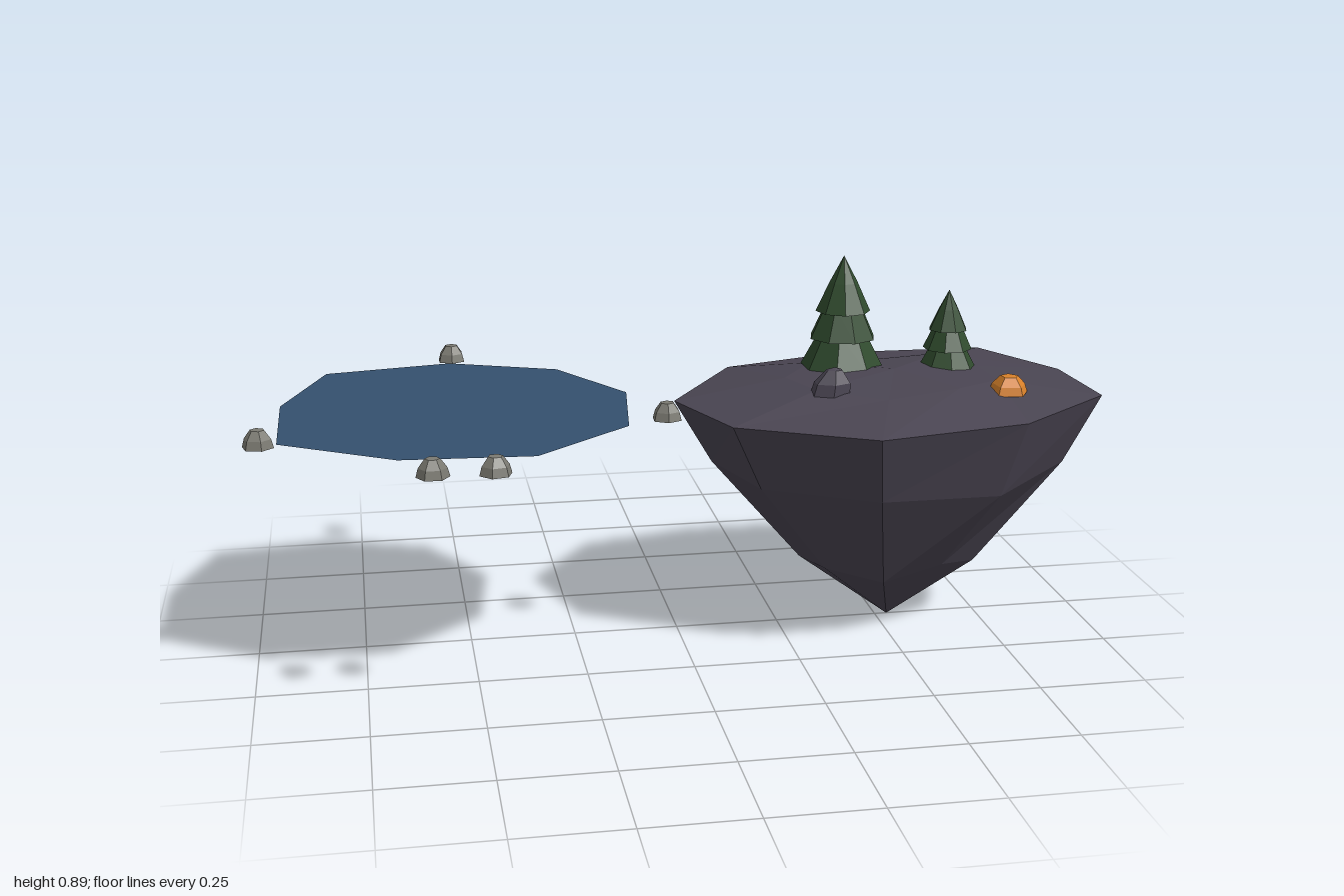
import * as THREE from 'three';

const mat = (name, color, side = THREE.FrontSide) => {
  const m = new THREE.MeshStandardMaterial({ color, side });
  m.name = name;
  return m;
};

// Faceted mesh with one normal per face
function faceted(name, geometry, material) {
  const g = geometry.index ? geometry.toNonIndexed() : geometry;
  g.computeVertexNormals();
  const mesh = new THREE.Mesh(g, material);
  mesh.name = name;
  return mesh;
}

// Skin between equal-sized rings, given from bottom to top
function loft(rings) {
  const n = rings[0].length, pos = [];
  for (let r = 0; r < rings.length - 1; r++) {
    const lo = rings[r], up = rings[r + 1];
    for (let i = 0; i < n; i++) {
      const j = (i + 1) % n;
      if (r > 0) pos.push(...lo[i], ...up[i], ...lo[j]);
      if (r < rings.length - 2) pos.push(...lo[j], ...up[i], ...up[j]);
      if (r === 0) pos.push(); // the tip only needs the fan above
    }
  }
  const g = new THREE.BufferGeometry();
  g.setAttribute('position', new THREE.Float32BufferAttribute(pos, 3));
  return g;
}

const lathe = (profile, sides) =>
  new THREE.LatheGeometry(profile.map(([r, y]) => new THREE.Vector2(r, y)), sides);

export function createModel() {
  const model = new THREE.Group();
  model.name = 'floatingIsland';
  const slate = mat('slate', 0x4a4552);
  const water = mat('water', 0x34506e, THREE.DoubleSide);
  const pine = mat('pine', 0x2f4a2d);
  const stone = mat('stone', 0x7b7a72);
  const amber = mat('amber', 0xd9822b);

  // Island: a nine-sided rim tapering down to a point, with a low domed top
  const rim = [[0, -0.035, 0.563], [0.175, -0.265, 0.58], [0.485, -0.345, 0.585],
    [0.85, -0.335, 0.585], [0.98, -0.095, 0.583], [0.995, 0.155, 0.582],
    [0.75, 0.335, 0.575], [0.39, 0.4, 0.572], [0.09, 0.23, 0.568]];
  const cx = 0.53;
  const ring = (scale, height) => rim.map(([x, z, y], i) =>
    [cx + (x - cx) * scale, height(y, i), z * scale]);
  const wobble = (i) => 0.015 * Math.sin(i * 2.4);
  model.add(faceted('island', loft([
    ring(0, () => 0),
    ring(0.42, (y, i) => 0.16 + wobble(i)),
    ring(0.83, (y, i) => 0.4 + wobble(i + 1)),
    ring(1, (y) => y),
    ring(0.5, (y, i) => 0.613 + wobble(i) * 0.4),
    ring(0, () => 0.628),
  ]), slate));

  // Lake: a flat nine-sided sheet
  const shore = [[-0.51, -0.42], [-0.25, -0.315], [-0.11, -0.07], [-0.145, 0.215],
    [-0.37, 0.41], [-0.665, 0.39], [-0.92, 0.23], [-0.92, -0.08], [-0.815, -0.365]];
  const lakeShape = new THREE.Shape(shore.map(([x, z]) => new THREE.Vector2(x, -z)));
  const lake = faceted('lake', new THREE.ShapeGeometry(lakeShape).rotateX(-Math.PI / 2), water);
  lake.position.y = 0.58;
  model.add(lake);

  // Pines: three stacked tiers, each turned a little
  const tiers = [
    [[0, 0], [0.1, 0], [0.055, 0.085], [0, 0.12]],
    [[0, 0.07], [0.082, 0.07], [0.045, 0.15], [0, 0.19]],
    [[0, 0.135], [0.066, 0.135], [0.034, 0.205], [0, 0.27]],
  ];
  for (const [x, y, z, s] of [[0.425, 0.617, -0.1, 1], [0.68, 0.607, -0.065, 0.72]]) {
    const tree = new THREE.Group();
    tree.name = 'pineTree';
    tiers.forEach((profile, i) => {
      const tier = faceted('foliageTier', lathe(profile, 8), pine);
      tier.rotation.y = i * 0.5 + x;
      tree.add(tier);
    });
    tree.position.set(x, y, z);
    tree.scale.setScalar(s);
    model.add(tree);
  }

  // Rocks: flat-bottomed chunks of unit radius and height
  const addRock = (name, material, sides, [x, y, z], [sx, sy, sz], turn = 0) => {
    const g = lathe([[0, 0], [1, 0], [0.85, 0.5], [0.45, 1], [0, 1.02]], sides).rotateY(turn);
    const rock = faceted(name, g, material);
    rock.position.set(x, y, z);
    rock.scale.set(sx, sy, sz);
    model.add(rock);
  };
  [[-0.5, -0.495], [-0.96, 0.205], [-0.595, 0.48], [-0.465, 0.485], [-0.045, 0.135]]
    .forEach(([x, z], i) =>
      addRock('shoreStone', stone, 6, [x, 0.568, z], [0.036, 0.04, 0.034], i * 1.3));
  addRock('amberBoulder', amber, 5, [0.765, 0.598, 0.15], [0.047, 0.04, 0.05], 0.4);

  // Dark boulder with its peak pulled to one side
  const boulder = lathe([[0, 0], [0.05, 0], [0.045, 0.03], [0.02, 0.06], [0, 0.066]], 6);
  boulder.scale(1, 1, 0.72);
  const p = boulder.attributes.position;
  for (let i = 0; i < p.count; i++) p.setX(i, p.getX(i) + p.getY(i) * 0.15);
  const dark = faceted('darkBoulder', boulder, slate);
  dark.position.set(0.34, 0.605, 0.125);
  model.add(dark);

  return model;
}
